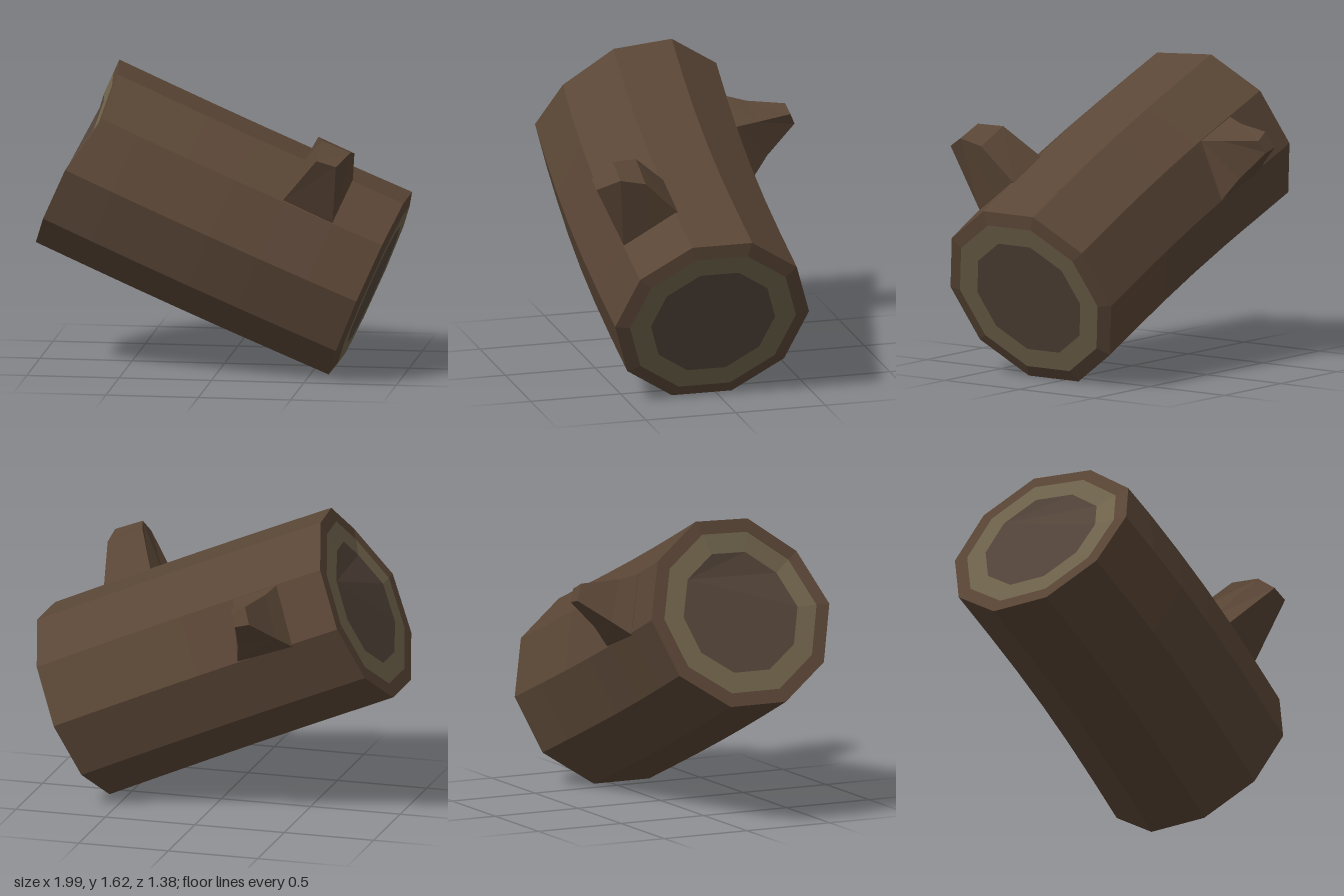
import * as THREE from 'three';

const V = (x, y, z) => new THREE.Vector3(x, y, z);
const SIDES = 10;
const LEFT = V(-0.785, 1.155, 0.075), RIGHT = V(0.8, 0.475, 0.075);
const AXIS = RIGHT.clone().sub(LEFT).normalize();
const UP = V(-AXIS.y, AXIS.x, 0);

const material = (color) => new THREE.MeshStandardMaterial({ color, flatShading: true, roughness: 1 });

function meshFrom(name, triangles, mat) {
  const geometry = new THREE.BufferGeometry().setFromPoints(triangles);
  geometry.computeVertexNormals();
  const mesh = new THREE.Mesh(geometry, mat);
  mesh.name = name;
  return mesh;
}

// Triangles joining successive rings (counterclockwise around the direction of travel)
function loft(rings) {
  const out = [];
  for (let j = 0; j < rings.length - 1; j++) {
    const n = rings[j].length;
    for (let i = 0; i < n; i++) {
      const k = (i + 1) % n;
      const [a, b, c, d] = [rings[j][i], rings[j][k], rings[j + 1][k], rings[j + 1][i]];
      out.push(a, b, c, a, c, d);
    }
  }
  return out;
}

// Flat polygon as a fan
function fan(points) {
  const out = [];
  for (let i = 1; i < points.length - 1; i++) out.push(points[0], points[i], points[i + 1]);
  return out;
}

// Decagonal section of the trunk, bowed gently towards +z along its length
function trunkRing(t) {
  const ring = [];
  for (let i = 0; i < SIDES; i++) {
    const a = ((i * 36 - 18) * Math.PI) / 180;
    const p = LEFT.clone().lerp(RIGHT, t);
    p.addScaledVector(UP, Math.cos(a) * 0.54);
    p.z += Math.sin(a) * 0.54 + 0.033 * Math.sin(Math.PI * t);
    ring.push(p);
  }
  return ring;
}

const inset = (ring, centre, scale, push = 0) =>
  ring.map((p) => centre.clone().lerp(p, scale).addScaledVector(AXIS, push));

export function createModel() {
  const log = new THREE.Group();
  log.name = 'log';
  const bark = material(0x5a4636);
  const sapwood = material(0x70644c);
  const heartwood = material(0x54453a);

  // Trunk, with the front upper corner of the left cut worn back
  const rings = [];
  for (let j = 0; j <= 6; j++) rings.push(trunkRing(j / 6));
  const first = rings[0], last = rings[6];
  [[1, 0.043], [2, 0.075], [3, 0.01]].forEach(([i, d]) => first[i].addScaledVector(AXIS, d));

  const leftOuter = inset(first, LEFT, 0.856), leftInner = inset(first, LEFT, 0.64);
  const rightOuter = inset(last, RIGHT, 0.856, 0.02), rightInner = inset(last, RIGHT, 0.64, 0.02);
  log.add(meshFrom('trunkBark', loft([leftOuter, ...rings, rightOuter]), bark));

  // Cut ends: pale ring around a dark core
  log.add(meshFrom('leftSapwoodRing', loft([leftInner, leftOuter]), sapwood));
  log.add(meshFrom('rightSapwoodRing', loft([rightOuter, rightInner]), sapwood));
  log.add(meshFrom('leftHeartwood', fan([...leftInner].reverse()), heartwood));
  log.add(meshFrom('rightHeartwood', fan(rightInner), heartwood));

  // Front branch stub: four-cornered base, tip folded along a ridge
  const [b0, b1, b2, b3] = [V(0.39, 1.0, 0.53), V(0.66, 0.89, 0.53), V(0.73, 1.07, 0.25), V(0.47, 1.17, 0.25)];
  const mid = (a, b) => a.clone().lerp(b, 0.5);
  const base = [b0, b1, mid(b1, b2), b2, b3, mid(b3, b0)];
  const tip = [
    V(0.595, 1.25, 0.69), V(0.7, 1.22, 0.69), V(0.765, 1.28, 0.575),
    V(0.765, 1.25, 0.435), V(0.57, 1.335, 0.435), V(0.61, 1.34, 0.575),
  ];
  const buried = base.map((p) => p.clone().add(V(-0.03, -0.08, -0.08)));
  log.add(meshFrom('frontBranch', [
    ...loft([buried, base, tip]),
    ...fan([tip[0], tip[1], tip[2], tip[5]]),
    ...fan([tip[5], tip[2], tip[3], tip[4]]),
  ], bark));

  // Back branch stub: flared root narrowing to a small tip
  const root = [V(-0.41, 1.335, -0.35), V(-0.17, 1.235, -0.34), V(-0.22, 0.92, -0.44), V(-0.53, 1.035, -0.455)];
  const neck = [V(-0.38, 1.31, -0.45), V(-0.205, 1.24, -0.46), V(-0.25, 1.035, -0.53), V(-0.46, 1.1, -0.54)];
  const end = [V(-0.325, 1.295, -0.65), V(-0.25, 1.255, -0.66), V(-0.28, 1.19, -0.69), V(-0.36, 1.21, -0.69)];
  const hidden = root.map((p) => p.clone().add(V(0, -0.03, 0.08)));
  log.add(meshFrom('backBranch', [...loft([hidden, root, neck, end]), ...fan(end)], bark));

  return log;
}
